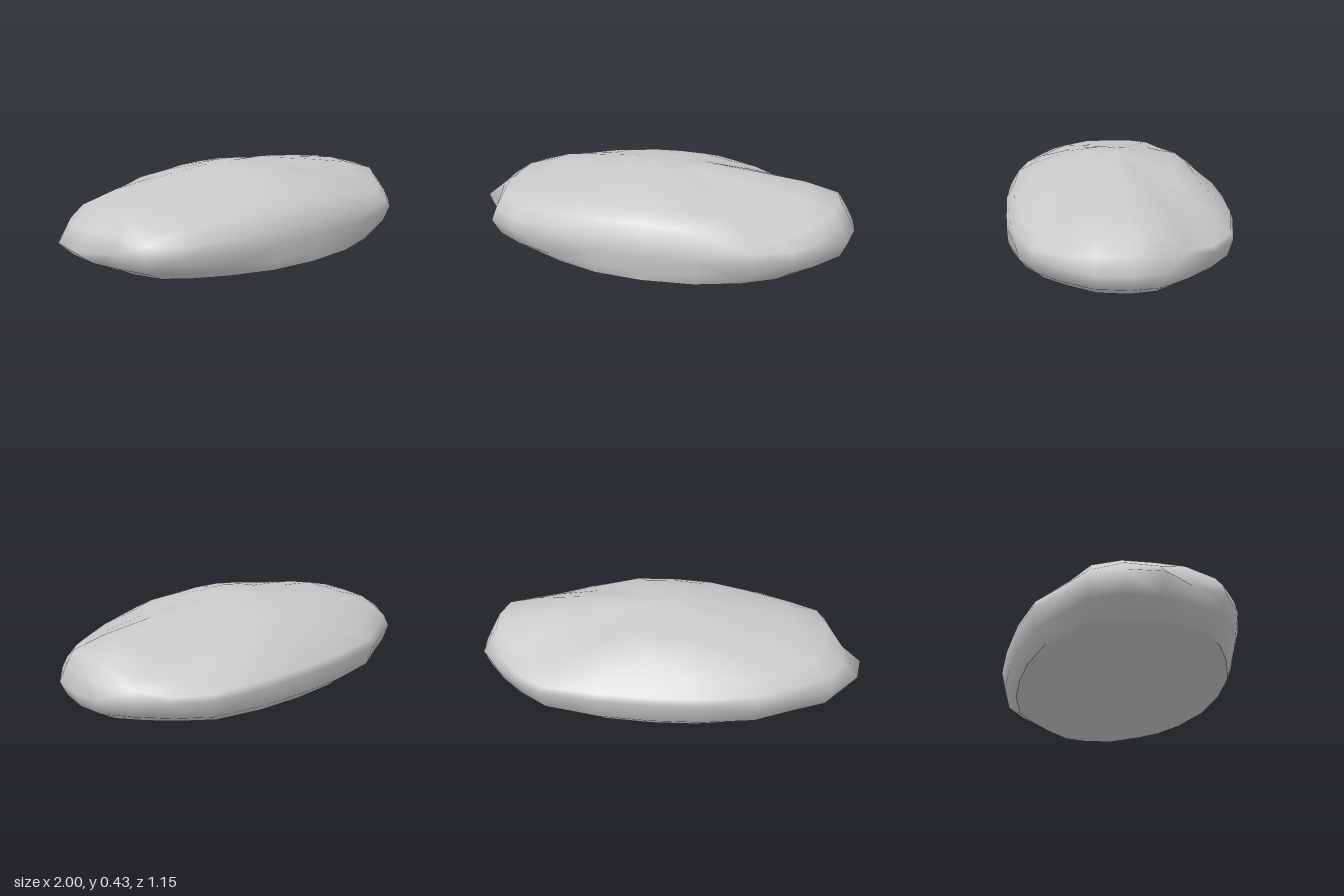
import * as THREE from 'three';

// Widest outline of the rock, [x, z], counter-clockwise seen from above
const OUTLINE = [
  [1, 0], [0.98, -0.14], [0.88, -0.28], [0.75, -0.41], [0.59, -0.52], [0.3, -0.57],
  [0.03, -0.575], [-0.22, -0.56], [-0.5, -0.51], [-0.69, -0.4], [-0.85, -0.31], [-0.98, -0.16],
  [-1, 0.01], [-0.89, 0.17], [-0.84, 0.34], [-0.69, 0.44], [-0.48, 0.51], [-0.22, 0.56],
  [0.03, 0.575], [0.3, 0.57], [0.56, 0.52], [0.75, 0.44], [0.87, 0.33], [0.98, 0.17],
];

// Profiles from the base to the crown, [share of the outline, height], for each side
const PROFILES = {
  left: [[0.88, 0], [0.97, 0.055], [1, 0.13], [0.96, 0.21], [0.92, 0.285], [0.75, 0.335], [0.5, 0.375], [0.25, 0.41]],
  right: [[0.87, 0], [0.98, 0.055], [1, 0.13], [0.96, 0.21], [0.91, 0.28], [0.72, 0.33], [0.45, 0.367], [0.15, 0.417]],
  back: [[0.87, 0], [0.97, 0.05], [1, 0.15], [0.98, 0.185], [0.85, 0.245], [0.69, 0.33], [0.52, 0.37], [0.26, 0.402]],
  front: [[0.98, 0], [1, 0.05], [1, 0.13], [1, 0.2], [0.92, 0.28], [0.78, 0.33], [0.57, 0.38], [0.31, 0.417]],
};
const RINGS = PROFILES.left.length;
const WIDEST = 2;

// How far the lip on the right end reaches in the rings around the widest one
const LIP_REACH = { 1: 0.92, 2: 1, 3: 0.94 };

// Diagonal corners: how much the top slopes down and the base tucks in
const CORNERS = {
  leftback: { drop: 0.11, tuck: 0.03 },
  leftfront: { drop: 0.1, tuck: 0.05 },
  rightback: { drop: 0.02, tuck: 0.03 },
  rightfront: { drop: 0.05, tuck: 0.08 },
};

// One point of a ring: blends the end profile with the side profile by direction
function ringPoint(ring, [x, z]) {
  const endName = x > 0 ? 'left' : 'right';
  const sideName = z > 0 ? 'front' : 'back';
  const end = PROFILES[endName][ring];
  const side = PROFILES[sideName][ring];
  const { drop, tuck } = CORNERS[endName + sideName];
  const w = x * x / (x * x + 3 * z * z);
  const diagonal = 4 * w * (1 - w);
  let s = THREE.MathUtils.lerp(side[0], end[0], w);
  let y = THREE.MathUtils.lerp(side[1], end[1], w);
  if (ring > WIDEST) y -= drop * (diagonal * s) ** 2 * (y - 0.13) / 0.2;
  if (ring < WIDEST) s -= tuck * diagonal * (1 - ring / WIDEST);
  return [Math.max(x, -(LIP_REACH[ring] ?? 0.89)) * s, y, z * s];
}

function buildGeometry(positions, index) {
  const geometry = new THREE.BufferGeometry();
  geometry.setAttribute('position', new THREE.Float32BufferAttribute(positions, 3));
  geometry.setIndex(index);
  geometry.computeVertexNormals();
  return geometry;
}

export function createModel() {
  const group = new THREE.Group();
  group.name = 'rock';
  const stone = new THREE.MeshStandardMaterial({ color: 0xc9c9c9 });
  stone.name = 'grey stone';
  const n = OUTLINE.length;

  // Rounded body, lofted ring by ring and closed at the crown
  const positions = [];
  const index = [];
  for (let r = 0; r < RINGS; r++) {
    for (const p of OUTLINE) positions.push(...ringPoint(r, p));
  }
  positions.push(0, 0.425, 0);
  for (let r = 0; r < RINGS; r++) {
    for (let i = 0; i < n; i++) {
      const a = r * n + i;
      const b = r * n + (i + 1) % n;
      if (r === RINGS - 1) index.push(a, b, RINGS * n);
      else if ((r + i) % 2) index.push(a, b, b + n, a, b + n, a + n);
      else index.push(a, b, a + n, b, b + n, a + n);
    }
  }
  const body = new THREE.Mesh(buildGeometry(positions, index), stone);
  body.name = 'rockBody';

  // Flat underside
  const basePositions = [0, 0, 0];
  const baseIndex = [];
  OUTLINE.forEach((p, i) => {
    basePositions.push(...ringPoint(0, p));
    baseIndex.push(0, (i + 1) % n + 1, i + 1);
  });
  const base = new THREE.Mesh(buildGeometry(basePositions, baseIndex), stone);
  base.name = 'flatBase';

  group.add(body, base);
  return group;
}
